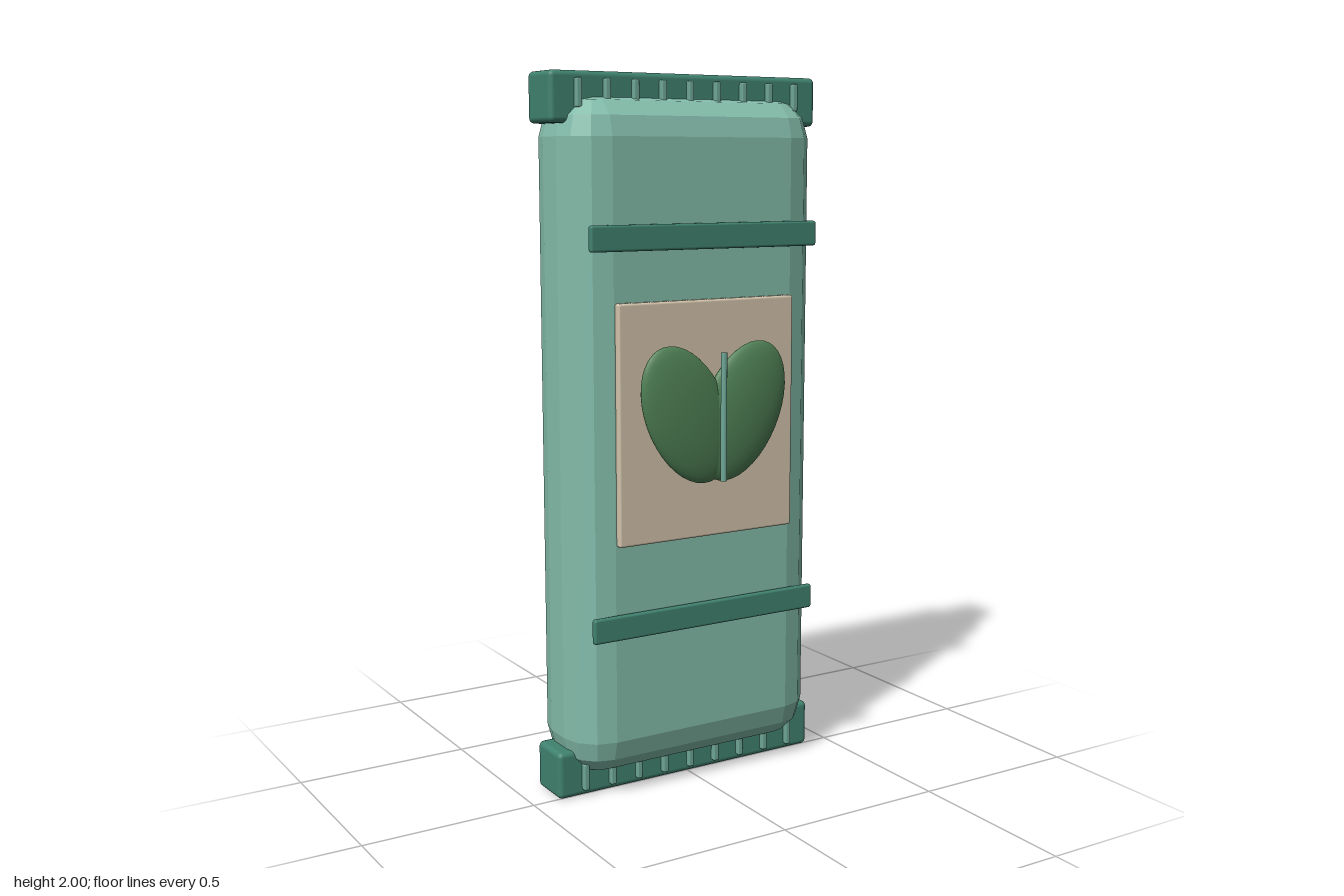
import * as THREE from 'three';
import { RoundedBoxGeometry } from 'three/addons/geometries/RoundedBoxGeometry.js';

const mat = (name, color) => {
  const m = new THREE.MeshStandardMaterial({ color });
  m.name = name;
  return m;
};

// Box with every edge rounded by a few flat facets, built from stacked rings
function facetedBox(w, h, d, r, steps) {
  const pos = [], index = [];
  const arc = (i) => (i / steps) * Math.PI / 2;
  const n = 4 * (steps + 1);
  const rings = 2 * (steps + 1);
  for (let k = 0; k < rings; k++) {
    const top = k > steps;
    const lat = top ? arc(k - steps - 1) : arc(k) - Math.PI / 2;
    const y = (top ? 1 : -1) * (h / 2 - r) + r * Math.sin(lat);
    for (let q = 0; q < 4; q++) {
      const sx = q === 0 || q === 3 ? 1 : -1;
      const sz = q < 2 ? 1 : -1;
      for (let i = 0; i <= steps; i++) {
        const a = q * Math.PI / 2 + arc(i);
        pos.push(
          sx * (w / 2 - r) + r * Math.cos(lat) * Math.cos(a), y,
          sz * (d / 2 - r) + r * Math.cos(lat) * Math.sin(a));
      }
    }
  }
  for (let k = 0; k < rings - 1; k++) {
    for (let i = 0; i < n; i++) {
      const a = k * n + i, b = k * n + (i + 1) % n;
      index.push(a, a + n, b, b, a + n, b + n);
    }
  }
  // End caps
  const last = (rings - 1) * n;
  for (let i = 1; i < n - 1; i++) {
    index.push(0, i, i + 1, last, last + i + 1, last + i);
  }
  const g = new THREE.BufferGeometry();
  g.setAttribute('position', new THREE.Float32BufferAttribute(pos, 3));
  g.setIndex(index);
  const flat = g.toNonIndexed();
  flat.computeVertexNormals();
  return flat;
}

export function createModel() {
  const model = new THREE.Group();
  model.name = 'pouch';

  const bodyMat = mat('pale green', 0x84bdab);
  const trimMat = mat('deep green', 0x40826f);
  const labelMat = mat('cream', 0xd4c5ad);
  const leafMat = mat('leaf green', 0x4f8055);
  const ribMat = mat('soft green', 0x70a998);

  const add = (name, geometry, material, x, y, z) => {
    const mesh = new THREE.Mesh(geometry, material);
    mesh.name = name;
    mesh.position.set(x, y, z);
    model.add(mesh);
    return mesh;
  };

  // Padded body
  add('body', facetedBox(0.79, 1.88, 0.296, 0.11, 3), bodyMat, 0, 1, -0.055);

  // End seals with a row of small ribs, and a strap near each end
  const sealGeo = new RoundedBoxGeometry(0.85, 0.136, 0.134, 3, 0.015);
  const ribGeo = new RoundedBoxGeometry(0.017, 0.076, 0.03, 2, 0.004);
  const strapGeo = new RoundedBoxGeometry(0.724, 0.07, 0.019, 2, 0.007);
  for (const [side, s] of [['bottom', -1], ['top', 1]]) {
    add(side + 'Seal', sealGeo, trimMat, 0, 1 + s * 0.932, -0.056);
    for (let i = -4; i <= 4; i++) {
      add(side + 'Rib', ribGeo, ribMat, i * 0.0863, 1 + s * 0.943, 0.012);
    }
    add(side + 'Strap', strapGeo, trimMat, 0, 1.034 + s * 0.531, 0.103);
  }

  // Front label
  add('label', new RoundedBoxGeometry(0.566, 0.664, 0.024, 2, 0.007), labelMat, 0, 1.061, 0.102);

  // Pair of leaves leaning outwards
  const leafGeo = new THREE.SphereGeometry(1, 32, 20);
  for (const [name, s] of [['leftLeaf', 1], ['rightLeaf', -1]]) {
    const leaf = add(name, leafGeo, leafMat, s * 0.088, 1.083, 0.145);
    leaf.scale.set(0.126, 0.206, 0.033);
    leaf.rotation.z = -s * 0.46;
  }

  // Leaf stem, an open tube
  add('stem', new THREE.CylinderGeometry(0.009, 0.009, 0.356, 10, 1, true), ribMat, 0, 1.078, 0.192);

  return model;
}
